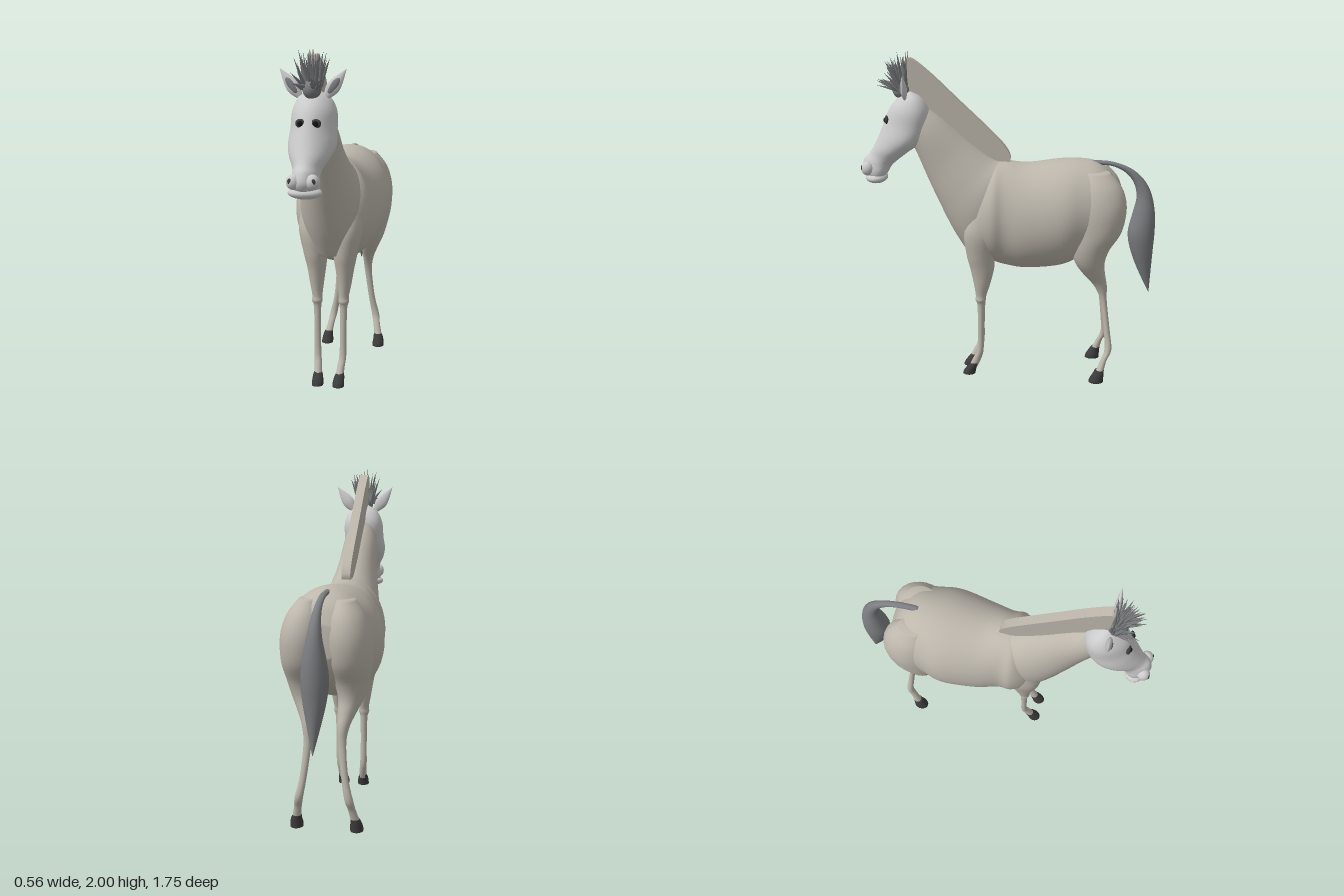
import * as THREE from 'three';

const material = (color) => new THREE.MeshStandardMaterial({ color });
const coat = material(0xbdb7ac), face = material(0xcccccc), hair = material(0x7c7d80);
const horn = material(0x3c3c3c), black = material(0x141414);

// Smooth skin over oval sections [z0, y0, z1, y1, halfWidth, centreX].
// skew widens the (z1, y1) side of every section and narrows the other.
function loft(name, mat, rows, { skew = 0, steps = 5, sides = 32 } = {}) {
  const cr = (a, b, c, d, t) => 0.5 * (2 * b + (c - a) * t
    + (2 * a - 5 * b + 4 * c - d) * t * t + (3 * b - a - 3 * c + d) * t * t * t);
  const row = (i) => rows[Math.min(Math.max(i, 0), rows.length - 1)];
  const sections = [];
  for (let i = 0; i < rows.length - 1; i++) {
    for (let s = 0; s < steps; s++) {
      sections.push([0, 1, 2, 3, 4, 5].map((k) => cr(row(i - 1)[k] ?? 0, row(i)[k] ?? 0,
        row(i + 1)[k] ?? 0, row(i + 2)[k] ?? 0, s / steps)));
    }
  }
  sections.push([0, 1, 2, 3, 4, 5].map((k) => row(rows.length)[k] ?? 0));
  // collapsed rings close both ends
  const shut = ([z0, y0, z1, y1, , x]) => [(z0 + z1) / 2, (y0 + y1) / 2, (z0 + z1) / 2, (y0 + y1) / 2, 0, x];
  sections.unshift(shut(sections[0]));
  sections.push(shut(sections[sections.length - 1]));

  const pos = [], index = [];
  sections.forEach(([z0, y0, z1, y1, w, x], r) => {
    for (let j = 0; j < sides; j++) {
      const a = (j / sides) * Math.PI * 2, c = Math.cos(a);
      pos.push(x + Math.sin(a) * w * (1 - skew * c),
        (y0 + y1) / 2 + c * (y0 - y1) / 2, (z0 + z1) / 2 + c * (z0 - z1) / 2);
      if (r === 0) continue;
      const k = (j + 1) % sides, p = (r - 1) * sides, q = r * sides;
      index.push(p + j, q + j, p + k, p + k, q + j, q + k);
    }
  });
  // turn the faces outward if the enclosed volume is negative
  const v = (i) => new THREE.Vector3().fromArray(pos, i * 3);
  let volume = 0;
  for (let i = 0; i < index.length; i += 3) {
    volume += v(index[i]).dot(v(index[i + 1]).cross(v(index[i + 2])));
  }
  if (volume < 0) index.reverse();
  const geo = new THREE.BufferGeometry();
  geo.setAttribute('position', new THREE.Float32BufferAttribute(pos, 3));
  geo.setIndex(index);
  geo.computeVertexNormals();
  const mesh = new THREE.Mesh(geo, mat);
  mesh.name = name;
  return mesh;
}

function ball(name, mat, x, y, z, sx, sy, sz) {
  const mesh = new THREE.Mesh(new THREE.SphereGeometry(1, 20, 14), mat);
  mesh.name = name;
  mesh.position.set(x, y, z);
  mesh.scale.set(sx, sy, sz);
  return mesh;
}

export function createModel() {
  const model = new THREE.Group();
  model.name = 'horse';

  // Barrel, with a rounded rump and chest
  model.add(loft('torso', coat, [
    [0.25, 1.08, 0.25, 0.86, 0.07], [0.2, 1.22, 0.2, 0.79, 0.165], [0.11, 1.34, 0.11, 0.74, 0.222],
    [0.03, 1.355, 0.03, 0.712, 0.218], [-0.1, 1.34, -0.1, 0.695, 0.252], [-0.3, 1.362, -0.3, 0.715, 0.28],
    [-0.42, 1.365, -0.42, 0.765, 0.255], [-0.52, 1.345, -0.52, 0.82, 0.23],
    [-0.6, 1.28, -0.6, 0.9, 0.19], [-0.65, 1.18, -0.65, 1.0, 0.1],
  ], { sides: 48 }));

  model.add(loft('neck', coat, [
    [0.54, 1.72, 0.62, 1.52, 0.07], [0.40, 1.62, 0.56, 1.43, 0.105], [0.24, 1.475, 0.49, 1.26, 0.122],
    [0.10, 1.37, 0.425, 1.11, 0.15], [0.0, 1.33, 0.34, 0.93, 0.175], [-0.04, 1.2, 0.25, 0.78, 0.16],
  ], { sides: 40 }));

  // Head: long face with a deep jaw
  const head = new THREE.Group();
  head.name = 'head';
  model.add(head);
  head.add(loft('skull', face, [
    [0.60, 1.768, 0.56, 1.766, 0.025], [0.645, 1.73, 0.50, 1.725, 0.085], [0.70, 1.665, 0.462, 1.65, 0.118],
    [0.735, 1.58, 0.472, 1.55, 0.123], [0.765, 1.51, 0.52, 1.465, 0.127], [0.795, 1.45, 0.60, 1.405, 0.108],
    [0.825, 1.40, 0.67, 1.35, 0.078], [0.858, 1.365, 0.70, 1.32, 0.072], [0.872, 1.31, 0.72, 1.285, 0.076],
    [0.85, 1.268, 0.745, 1.258, 0.066], [0.82, 1.255, 0.78, 1.252, 0.03],
  ], { skew: 0.2 }));
  head.add(ball('lowerLip', face, 0, 1.253, 0.79, 0.092, 0.034, 0.066));
  for (const s of [-1, 1]) {
    head.add(ball('nostrilFlare', face, s * 0.05, 1.315, 0.835, 0.038, 0.042, 0.038));
    head.add(ball('nostril', horn, s * 0.062, 1.322, 0.866, 0.012, 0.015, 0.006));
    head.add(ball('eyeRim', horn, s * 0.041, 1.602, 0.712, 0.028, 0.024, 0.014));
    head.add(ball('eye', black, s * 0.041, 1.602, 0.718, 0.016, 0.016, 0.014));

    // Leaf-shaped ears leaning outward, with a darker hollow
    const ear = new THREE.Group();
    ear.name = 'ear';
    const leaf = new THREE.SplineCurve([[0.018, 0], [0.036, 0.05], [0.03, 0.1], [0.0005, 0.18]]
      .map(([r, y]) => new THREE.Vector2(r, y))).getPoints(14);
    const shell = new THREE.Mesh(new THREE.LatheGeometry(leaf, 16), face);
    shell.name = 'earShell';
    shell.scale.z = 0.5;
    ear.add(shell, ball('earHollow', hair, 0, 0.07, 0.011, 0.02, 0.05, 0.01));
    ear.position.set(s * 0.072, 1.735, 0.6);
    ear.rotation.z = -s * 0.64;
    head.add(ear);
  }

  // Upright mane as a flat crest along the neck
  const crest = new THREE.Shape();
  crest.moveTo(0.58, 1.73);
  crest.lineTo(0.595, 1.95);
  crest.splineThru([[0.56, 1.95], [0.455, 1.865], [0.30, 1.715], [0.14, 1.56], [0.035, 1.45], [-0.003, 1.385],
    [0, 1.345]].map(([z, y]) => new THREE.Vector2(z, y)));
  crest.lineTo(0.1, 1.33);
  crest.lineTo(0.24, 1.44);
  crest.lineTo(0.4, 1.59);
  const crestGeo = new THREE.ExtrudeGeometry(crest, { depth: 0.054, bevelEnabled: false, curveSegments: 30 });
  crestGeo.translate(0, 0, -0.027).rotateY(-Math.PI / 2);
  const mane = new THREE.Mesh(crestGeo, coat);
  mane.name = 'mane';
  model.add(mane);

  // Spiky forelock: cones fanning out of a small core
  const forelock = new THREE.Group();
  forelock.name = 'forelock';
  forelock.add(ball('forelockCore', hair, 0, 1.775, 0.625, 0.05, 0.055, 0.055));
  let seed = 7;
  const rnd = () => (seed = (seed * 16807) % 2147483647) / 2147483647;
  const up = new THREE.Vector3(0, 1, 0);
  for (let i = 0; i < 64; i++) {
    const side = (rnd() * 2 - 1) * 0.9, tilt = -0.3 + rnd() * 1.75;
    const root = new THREE.Vector3(side * 0.05, 1.77 + rnd() * 0.03, 0.61 + Math.sin(tilt) * 0.035);
    const reach = 0.75 + rnd() * 0.27, across = Math.sqrt(1 - side * side * 0.5);
    const tip = new THREE.Vector3(side * 0.12 * reach, 1.775 + Math.cos(tilt) * 0.225 * across * reach,
      0.62 + Math.sin(tilt) * 0.155 * across * reach);
    const dir = tip.clone().sub(root), len = dir.length();
    const spike = new THREE.Mesh(new THREE.ConeGeometry(0.013, len, 6), hair);
    spike.name = 'spike';
    spike.position.copy(root).add(tip).multiplyScalar(0.5);
    spike.quaternion.setFromUnitVectors(up, dir.normalize());
    forelock.add(spike);
  }
  head.add(forelock);

  // Tail: thin dock swelling into a pointed brush
  model.add(loft('tail', hair, [
    [-0.49, 1.357, -0.49, 1.33, 0.018], [-0.6, 1.348, -0.6, 1.322, 0.018], [-0.71, 1.31, -0.68, 1.285, 0.02],
    [-0.79, 1.245, -0.735, 1.22, 0.028], [-0.842, 1.155, -0.755, 1.13, 0.042], [-0.868, 1.04, -0.733, 1.02, 0.064],
    [-0.873, 0.92, -0.711, 0.915, 0.075], [-0.867, 0.8, -0.727, 0.81, 0.064],
    [-0.86, 0.67, -0.775, 0.68, 0.037], [-0.853, 0.525, -0.85, 0.525, 0.002],
  ], { sides: 20 }));

  // Legs: rows of [y, front z, back z, halfWidth, centreX], mirrored
  const foreleg = [
    [1.12, 0.21, 0.04, 0.06, 0.11], [0.95, 0.27, 0.05, 0.085, 0.105], [0.8, 0.26, 0.085, 0.072, 0.09],
    [0.7, 0.237, 0.095, 0.055, 0.085], [0.6, 0.217, 0.12, 0.04, 0.083], [0.53, 0.207, 0.142, 0.03, 0.08],
    [0.5, 0.209, 0.146, 0.032, 0.08], [0.46, 0.198, 0.153, 0.022, 0.079], [0.3, 0.196, 0.16, 0.019, 0.078],
    [0.17, 0.201, 0.162, 0.021, 0.076], [0.11, 0.225, 0.175, 0.022, 0.07], [0.05, 0.255, 0.2, 0.024, 0.065],
  ];
  const hindleg = [
    [1.31, -0.42, -0.58, 0.055, 0.1], [1.22, -0.38, -0.655, 0.105, 0.115], [1.1, -0.36, -0.685, 0.13, 0.125],
    [0.96, -0.36, -0.66, 0.125, 0.13], [0.85, -0.365, -0.592, 0.1, 0.135], [0.76, -0.39, -0.565, 0.075, 0.132],
    [0.68, -0.445, -0.572, 0.053, 0.115], [0.6, -0.51, -0.586, 0.034, 0.1], [0.5, -0.55, -0.589, 0.023, 0.098],
    [0.32, -0.573, -0.61, 0.02, 0.118], [0.2, -0.58, -0.622, 0.024, 0.142], [0.13, -0.555, -0.592, 0.022, 0.156],
    [0.05, -0.52, -0.572, 0.026, 0.172],
  ];
  const foreHoof = [[0.075, 0.24, 0.19, 0.022, 0.068], [0.05, 0.262, 0.203, 0.03, 0.065],
    [0.02, 0.285, 0.212, 0.034, 0.063], [0, 0.293, 0.215, 0.034, 0.063]];
  const hindHoof = [[0.075, -0.522, -0.578, 0.026, 0.167], [0.05, -0.508, -0.577, 0.032, 0.172],
    [0.02, -0.49, -0.575, 0.037, 0.173], [0, -0.484, -0.575, 0.037, 0.174]];
  for (const s of [-1, 1]) {
    const limb = (name, mat, rows) => model.add(loft((s > 0 ? 'left' : 'right') + name, mat,
      rows.map(([y, front, back, w, x]) => [front, y, back, y, w, s * x]), { sides: 24 }));
    limb('Foreleg', coat, foreleg);
    limb('ForeHoof', horn, foreHoof);
    limb('HindLeg', coat, hindleg);
    limb('HindHoof', horn, hindHoof);
  }
  return model;
}
